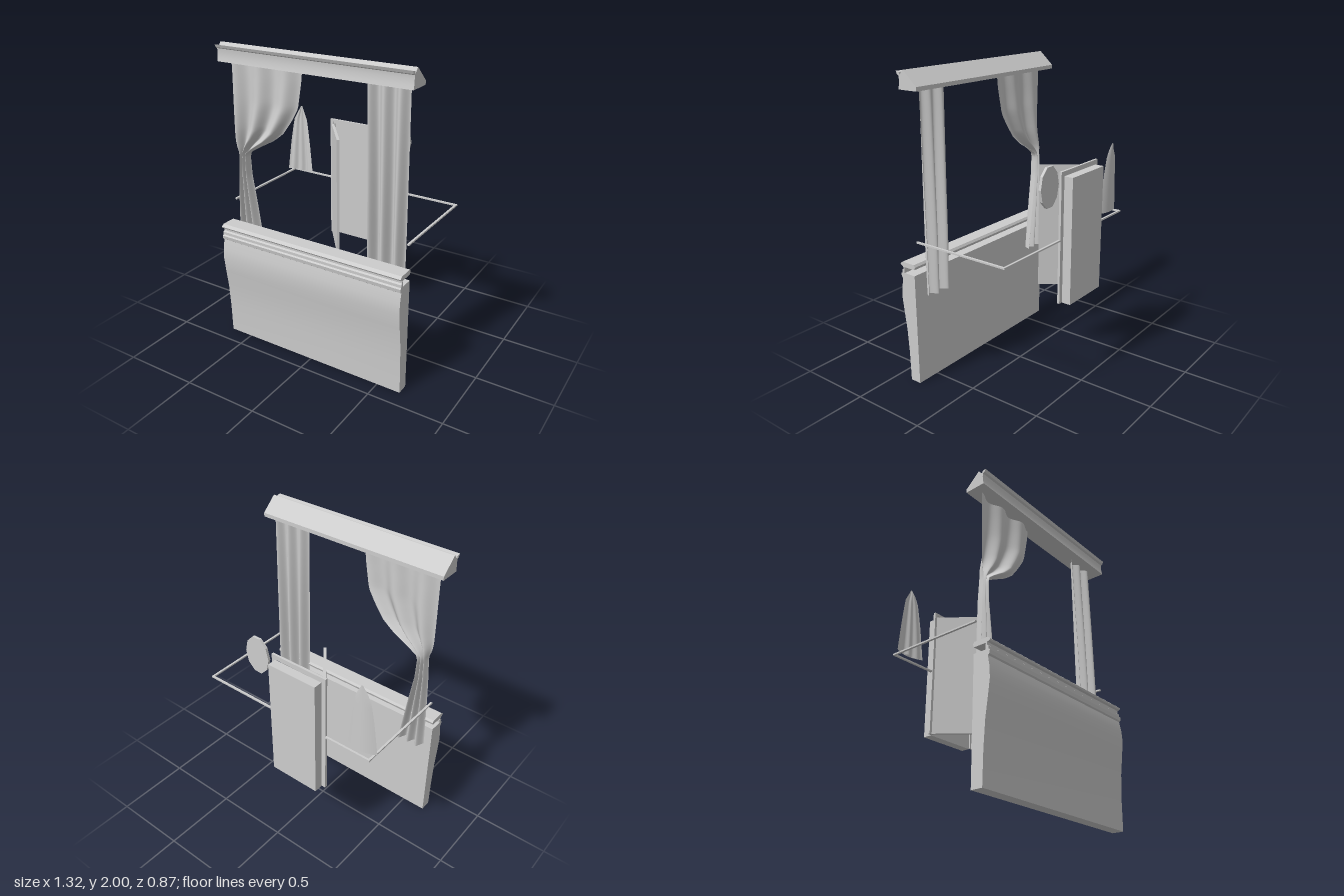
import * as THREE from 'three';
import { toCreasedNormals } from 'three/addons/utils/BufferGeometryUtils.js';

const plaster = new THREE.MeshStandardMaterial({ color: 0xcccccc, side: THREE.DoubleSide });

function add(group, name, geometry) {
  const mesh = new THREE.Mesh(geometry, plaster);
  mesh.name = name;
  group.add(mesh);
  return mesh;
}

function box(group, name, w, h, d, x, y, z) {
  const mesh = add(group, name, new THREE.BoxGeometry(w, h, d));
  mesh.position.set(x, y, z);
  return mesh;
}

// Extrudes a (z, y) profile along the full width
function moulding(points, width) {
  const shape = new THREE.Shape(points.map(([z, y]) => new THREE.Vector2(z, y)));
  const geo = new THREE.ExtrudeGeometry(shape, { depth: width, bevelEnabled: false });
  geo.rotateY(-Math.PI / 2).translate(width / 2, 0, 0);
  return toCreasedNormals(geo, 0.3);
}

// Linear lookup in rows sorted by falling y
function rowAt(rows, y) {
  let i = 0;
  while (i < rows.length - 2 && y < rows[i + 1][0]) i++;
  const a = rows[i], b = rows[i + 1];
  const t = THREE.MathUtils.clamp((a[0] - y) / (a[0] - b[0]), 0, 1);
  return a.map((v, k) => v + (b[k] - v) * t);
}

// Cloth sheet; rows are [y, left x, right x, fold depth], z comes from u
function cloth(rows, cols, steps, foldZ) {
  const geo = new THREE.PlaneGeometry(1, 1, cols, steps);
  const pos = geo.attributes.position;
  const top = rows[0][0], bottom = rows[rows.length - 1][0];
  for (let i = 0; i < pos.count; i++) {
    const u = pos.getX(i) + 0.5;
    const y = bottom + (top - bottom) * (pos.getY(i) + 0.5);
    const [, xl, xr, depth] = rowAt(rows, y);
    pos.setXYZ(i, xl + (xr - xl) * u, y, foldZ(u, depth, y));
  }
  geo.computeVertexNormals();
  return geo;
}

// Frame with two legs and a lintel, open at the bottom
function portal(x0, x1, y0, y1, w, depth) {
  const shape = new THREE.Shape([
    [x0, y0], [x0 + w, y0], [x0 + w, y1 - w], [x1 - w, y1 - w],
    [x1 - w, y0], [x1, y0], [x1, y1], [x0, y1],
  ].map(([x, y]) => new THREE.Vector2(x, y)));
  return new THREE.ExtrudeGeometry(shape, { depth, bevelEnabled: false });
}

export function createModel() {
  const model = new THREE.Group();
  model.name = 'stageWindow';

  // Bulging front counter with moulded ledge and a groove open to the back
  add(model, 'counter', moulding([
    [0.312, 0], [0.388, 0], [0.392, 0.2], [0.402, 0.36], [0.418, 0.48], [0.43, 0.58],
    [0.426, 0.65], [0.414, 0.715], [0.424, 0.722], [0.428, 0.745], [0.418, 0.752],
    [0.418, 0.77], [0.408, 0.778], [0.408, 0.796], [0.424, 0.8], [0.43, 0.81],
    [0.412, 0.825], [0.315, 0.825], [0.305, 0.81], [0.312, 0.792], [0.398, 0.792],
    [0.398, 0.752], [0.312, 0.752],
  ], 1.32));

  // Cornice above the opening
  add(model, 'cornice', moulding([
    [0.222, 1.887], [0.362, 1.887], [0.357, 1.91], [0.354, 1.945], [0.356, 1.965],
    [0.368, 1.972], [0.376, 1.99], [0.352, 1.985], [0.348, 1.97], [0.32, 2],
    [0.222, 1.912],
  ], 1.32));

  // Straight curtain
  add(model, 'straightCurtain', cloth([
    [1.885, 0.352, 0.6, 0.02], [1.3, 0.365, 0.6, 0.027],
    [0.95, 0.37, 0.6, 0.03], [0.6, 0.375, 0.6, 0.028],
  ], 40, 12, (u, d) => 0.282 + d * Math.cos(u * Math.PI * 5)));

  // Gathered curtain pinched at its tie
  add(model, 'gatheredCurtain', cloth([
    [1.885, -0.602, -0.105, 0.018], [1.81, -0.602, -0.113, 0.018],
    [1.64, -0.602, -0.145, 0.022], [1.55, -0.602, -0.2, 0.024],
    [1.46, -0.602, -0.267, 0.025], [1.4, -0.602, -0.35, 0.025],
    [1.35, -0.596, -0.445, 0.025], [1.3, -0.58, -0.525, 0.022],
    [1.15, -0.59, -0.52, 0.025], [0.95, -0.598, -0.49, 0.028],
    [0.6, -0.61, -0.44, 0.028],
  ], 40, 40, (u, d) => 0.282 + d * Math.cos(u * Math.PI * 5)));

  // Hanging pointed cloth: pleated front and curved back
  const hanging = new THREE.Group();
  hanging.name = 'hangingCloth';
  const rows = [
    [1.458, -0.555, -0.545, 0.002], [1.43, -0.57, -0.528, 0.01], [1.36, -0.607, -0.498, 0.014],
    [1.2, -0.632, -0.473, 0.022], [0.985, -0.657, -0.448, 0.03],
  ];
  const arc = (u, d) => -0.349 + d * (2 * u - 1) ** 2;
  add(hanging, 'clothBack', cloth(rows, 16, 10, arc));
  add(hanging, 'clothFront', cloth(rows, 24, 10,
    (u, d) => arc(u, d) + d * 0.8 * Math.sin(u * Math.PI) * Math.sin(u * Math.PI * 3) ** 2));
  model.add(hanging);

  // Thin rail around three sides, broken at the doorway
  for (const side of [-1, 1]) {
    box(model, 'sideRail', 0.014, 0.01, 0.675, side * 0.635, 0.97, -0.037);
  }
  box(model, 'backRail', 0.324, 0.01, 0.014, -0.48, 0.97, -0.37);
  box(model, 'backRail', 0.552, 0.01, 0.014, 0.366, 0.97, -0.37);

  // Doorway: block behind, stepped frame and open leaf
  const door = new THREE.Group();
  door.name = 'doorway';
  box(door, 'doorRecess', 0.35, 0.825, 0.06, -0.115, 0.957, -0.406);
  add(door, 'outerFrame', portal(-0.318, 0.087, 0.545, 1.4, 0.018, 0.016)).position.z = -0.374;
  add(door, 'innerFrame', portal(-0.302, 0.071, 0.545, 1.384, 0.014, 0.01)).position.z = -0.374;
  const hinge = new THREE.Group();
  hinge.name = 'doorHinge';
  hinge.position.set(-0.298, 0, -0.358);
  hinge.rotation.y = -Math.atan2(0.27, 0.212);
  box(hinge, 'doorLeaf', 0.345, 0.82, 0.018, 0.172, 0.955, 0);
  door.add(hinge);
  model.add(door);

  // Ten-sided oval mirror with a raised rim
  const mirror = new THREE.Group();
  mirror.name = 'mirror';
  mirror.position.set(0.207, 1.335, -0.374);
  mirror.scale.set(0.091, 0.13, 1);
  const ring = (r) => Array.from({ length: 10 }, (_, i) =>
    new THREE.Vector2(r * Math.cos(i * Math.PI / 5), r * Math.sin(i * Math.PI / 5)));
  const rim = new THREE.Shape(ring(1));
  rim.holes.push(new THREE.Path(ring(0.84).reverse()));
  add(mirror, 'mirrorRim', new THREE.ExtrudeGeometry(rim, { depth: 0.017, bevelEnabled: false }));
  add(mirror, 'mirrorGlass', new THREE.ExtrudeGeometry(new THREE.Shape(ring(0.85)),
    { depth: 0.01, bevelEnabled: false }));
  model.add(mirror);

  return model;
}
